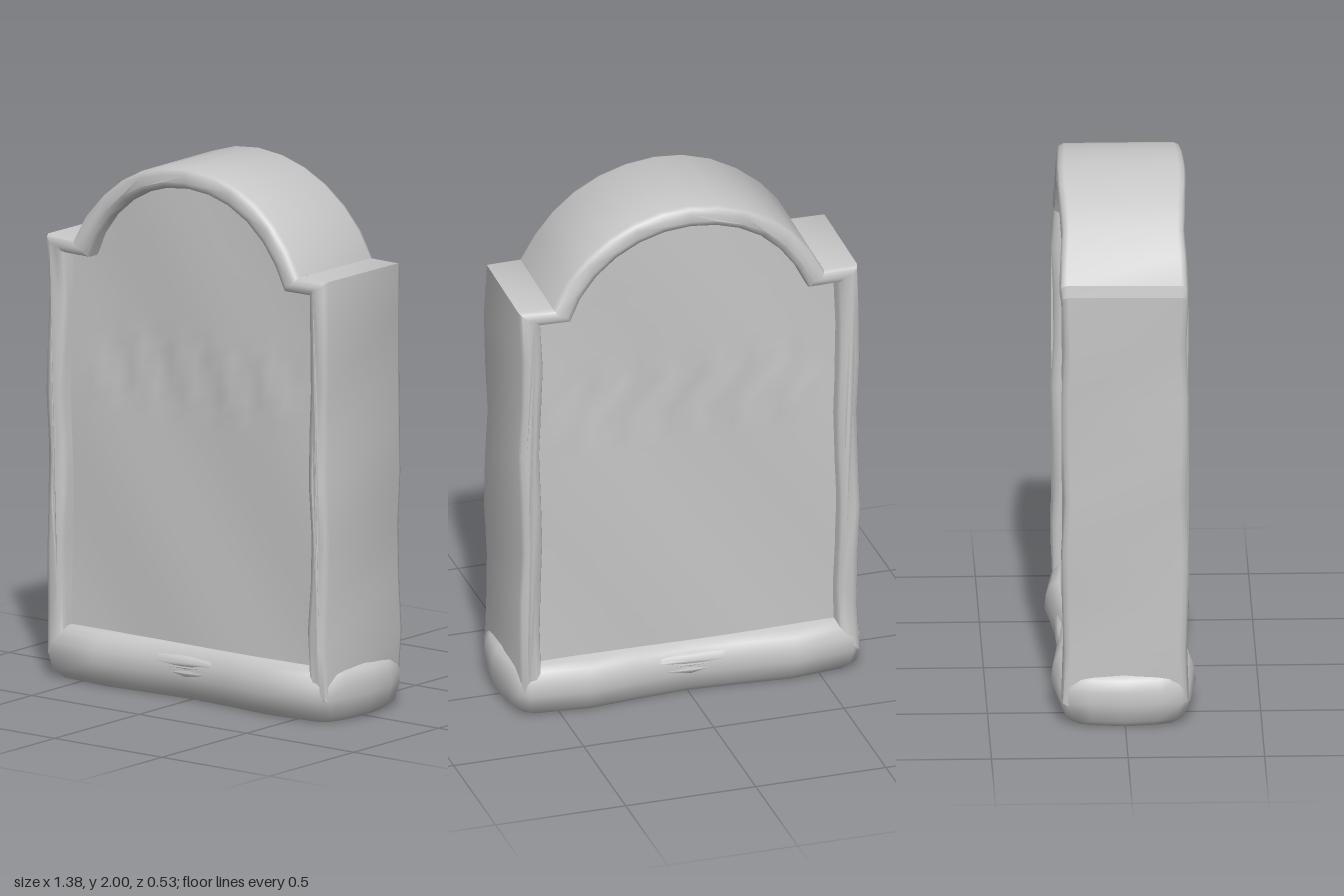
import * as THREE from 'three';
import { toCreasedNormals } from 'three/addons/utils/BufferGeometryUtils.js';

const ARCH_Y = 1.433; // centre height of the arch circles
const OUTER_R = 0.567;
const INNER_R = 0.487;

// Closed headstone outline: straight posts, small shoulders and a round arch
function outline(halfWidth, bottom, shoulder, radius) {
  const pts = [];
  for (let i = 0; i <= 6; i++) pts.push(new THREE.Vector2(-halfWidth + (i / 6) * 2 * halfWidth, bottom));
  for (let i = 1; i <= 8; i++) pts.push(new THREE.Vector2(halfWidth, bottom + (i / 8) * (shoulder - bottom)));
  const start = Math.asin((shoulder - ARCH_Y) / radius);
  for (let i = 0; i <= 12; i++) {
    const a = start + (i / 12) * (Math.PI - 2 * start);
    pts.push(new THREE.Vector2(Math.cos(a) * radius, ARCH_Y + Math.sin(a) * radius));
  }
  for (let i = 8; i >= 1; i--) pts.push(new THREE.Vector2(-halfWidth, bottom + (i / 8) * (shoulder - bottom)));
  return pts;
}

// Slightly uneven, weathered stone
function weather(geometry, amount) {
  const p = geometry.attributes.position;
  for (let i = 0; i < p.count; i++) {
    const x = p.getX(i), y = p.getY(i), z = p.getZ(i);
    p.setX(i, x + amount * Math.sin(y * 9 + z * 7) * Math.min(1, Math.abs(x) * 2));
    p.setZ(i, z + amount * Math.sin(x * 8 + y * 11) * Math.sign(z));
  }
  return geometry;
}

// Raised rim around both faces
function frameGeometry() {
  const shape = new THREE.Shape(outline(0.65, 0.08, 1.66, OUTER_R));
  shape.holes.push(new THREE.Path(outline(0.57, 0.17, 1.6, INNER_R).reverse()));
  const geo = new THREE.ExtrudeGeometry(shape, {
    depth: 0.41, bevelEnabled: true, bevelThickness: 0.025,
    bevelSize: 0.025, bevelOffset: -0.025, bevelSegments: 2,
  });
  geo.translate(0, 0, -0.205);
  return toCreasedNormals(weather(geo, 0.006), 0.9);
}

// Recessed face with worn lumps across the middle
function panelGeometry() {
  const cols = 20, rows = 28, straightRows = 22;
  const geo = new THREE.PlaneGeometry(2, 1, cols, rows);
  const p = geo.attributes.position;
  for (let i = 0; i < p.count; i++) {
    const row = rows - Math.floor(i / (cols + 1));
    const straight = row <= straightRows;
    const y = straight
      ? 0.12 + (row / straightRows) * 1.51
      : 1.63 + ((row - straightRows) / (rows - straightRows)) * 0.32;
    const half = straight ? 0.6 : Math.sqrt(0.53 ** 2 - (y - ARCH_Y) ** 2);
    const x = p.getX(i) * half;
    const band = Math.exp(-(((y - 1.21) / 0.07) ** 2)) * (Math.abs(x) < 0.42 ? 1 : 0);
    const z = 0.17 + 0.005 * Math.sin(x * 7 + y * 5) + band * 0.018 * Math.sin(x * 31 + y * 13);
    p.setXYZ(i, x, y, z);
  }
  geo.computeVertexNormals();
  return geo;
}

// Swollen plinth lofted through rings of one plan outline
function baseGeometry() {
  const quarter = [[0.69, 0], [0.675, 0.13], [0.655, 0.205], [0.62, 0.235], [0.4, 0.26], [0.2, 0.24]];
  const plan = [
    ...quarter.map(([x, z]) => [x, -z]),
    [0, -0.225],
    ...quarter.slice().reverse().map(([x, z]) => [-x, -z]),
    ...quarter.slice(1).map(([x, z]) => [-x, z]),
    [0, 0.225],
    ...quarter.slice(1).reverse(),
  ];
  // height, width scale, depth scale
  const rings = [[0, 0.95, 0.82], [0.025, 0.99, 0.92], [0.09, 1, 1.02], [0.14, 1, 1], [0.18, 0.98, 0.93], [0.2, 0.94, 0.84]];
  const n = plan.length, pos = [], idx = [];
  for (const [y, sx, sz] of rings) for (const [x, z] of plan) pos.push(x * sx, y, z * sz);
  for (let k = 0; k < rings.length - 1; k++) {
    for (let i = 0; i < n; i++) {
      const a = k * n + i, b = k * n + ((i + 1) % n);
      idx.push(a, b, b + n, a, b + n, a + n);
    }
  }
  const low = rings.length * n, high = low + 1, last = (rings.length - 1) * n;
  pos.push(0, 0.012, 0, 0, 0.19, 0);
  for (let i = 0; i < n; i++) {
    const j = (i + 1) % n;
    idx.push(low, j, i, high, last + i, last + j);
  }
  const geo = new THREE.BufferGeometry();
  geo.setAttribute('position', new THREE.Float32BufferAttribute(pos, 3));
  geo.setIndex(idx);
  return toCreasedNormals(geo, 1.0);
}

export function createModel() {
  const group = new THREE.Group();
  group.name = 'headstone';
  const stone = new THREE.MeshStandardMaterial({ color: 0xc6c6c6 });
  stone.name = 'pale grey stone';

  const add = (name, geometry) => {
    const mesh = new THREE.Mesh(geometry, stone);
    mesh.name = name;
    group.add(mesh);
    return mesh;
  };
  add('frame', frameGeometry());
  add('base', baseGeometry());
  const panel = panelGeometry();
  add('frontPanel', panel);
  add('backPanel', panel).rotation.y = Math.PI;
  return group;
}
